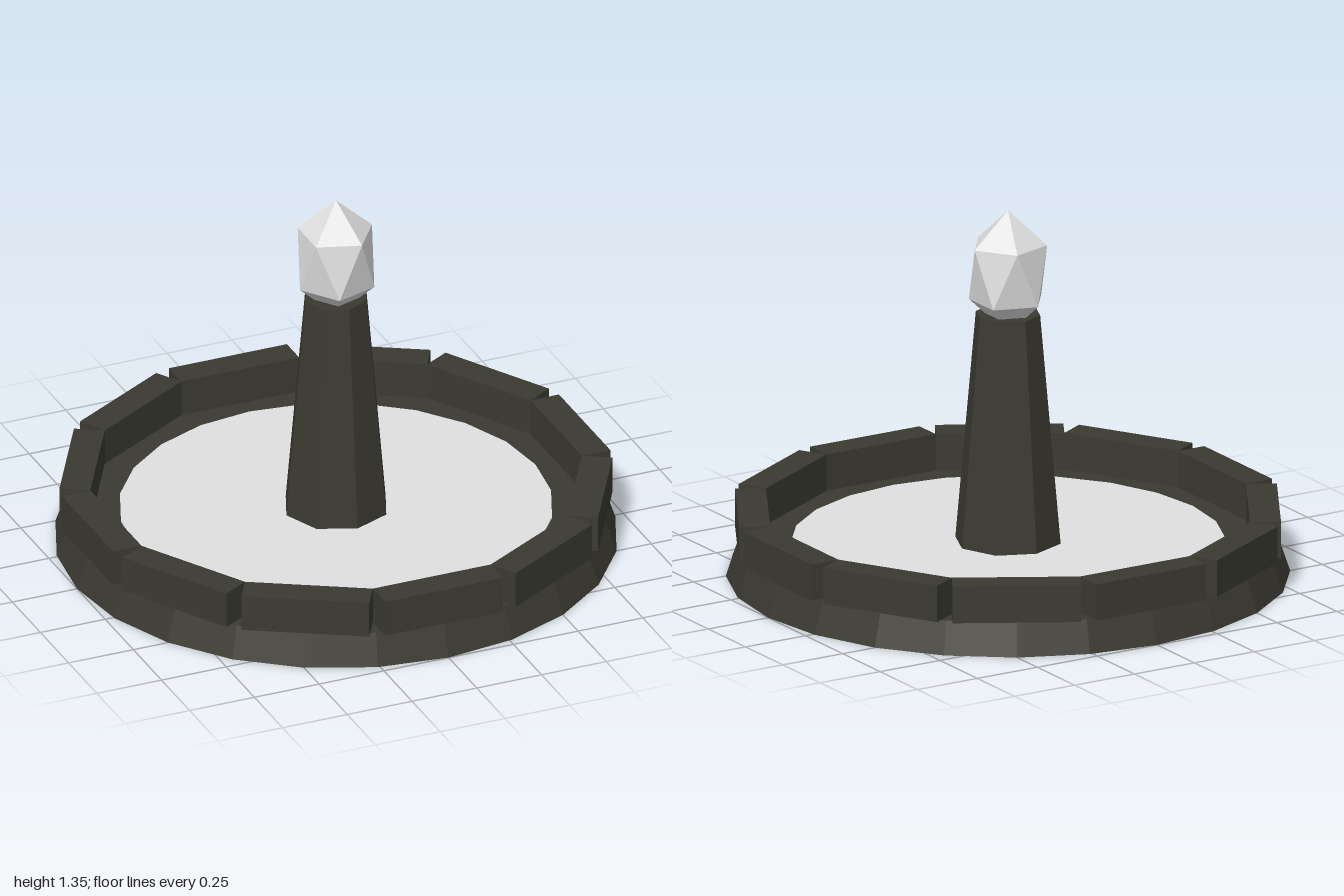
import * as THREE from 'three';
import { ConvexGeometry } from 'three/addons/geometries/ConvexGeometry.js';

export function createModel() {
  const model = new THREE.Group();
  model.name = 'fountain';

  const stone = new THREE.MeshStandardMaterial({ color: 0x3b3a31, flatShading: true });
  stone.name = 'dark stone';
  const pale = new THREE.MeshStandardMaterial({ color: 0xe0e0e0, flatShading: true });
  pale.name = 'pale crystal and water';

  const add = (name, geometry, material, y = 0, parent = model) => {
    const mesh = new THREE.Mesh(geometry, material);
    mesh.name = name;
    mesh.position.y = y;
    parent.add(mesh);
    return mesh;
  };

  // Flared round foot
  const footHeight = 0.117;
  add('foot', new THREE.CylinderGeometry(0.96, 1, footHeight, 24), stone, footHeight / 2);

  // Rim of twelve straight blocks, touching on the inside with wedge gaps outside
  const rim = new THREE.Group();
  rim.name = 'rim';
  model.add(rim);
  const inner = 0.85, outer = 0.96, top = 0.252;
  const block = new THREE.BoxGeometry(2 * inner * Math.tan(Math.PI / 12), top - footHeight, outer - inner);
  for (let i = 0; i < 12; i++) {
    const angle = (i * Math.PI) / 6;
    const mesh = add('rimBlock', block, stone, (top + footHeight) / 2, rim);
    const r = (inner + outer) / 2;
    mesh.position.x = Math.sin(angle) * r;
    mesh.position.z = Math.cos(angle) * r;
    mesh.rotation.y = angle;
  }

  // Water surface
  add('water', new THREE.CylinderGeometry(0.77, 0.77, 0.006, 24), pale, 0.12);

  // Tapered eight-sided pillar
  const pillarTop = 0.965;
  add('pillar', new THREE.CylinderGeometry(0.117, 0.192, pillarTop - footHeight, 8), stone,
    (pillarTop + footHeight) / 2);

  // Crystal: two opposed five-point rings between two tips, stretched upward
  const points = [new THREE.Vector3(0, 0.229, 0), new THREE.Vector3(0, -0.229, 0)];
  for (let i = 0; i < 5; i++) {
    const a = (i * Math.PI * 2) / 5;
    const x = 0.139 * Math.cos(a), z = 0.139 * Math.sin(a);
    points.push(new THREE.Vector3(x, 0.1025, z), new THREE.Vector3(-x, -0.1025, -z));
  }
  add('crystal', new ConvexGeometry(points), pale, 1.1175);

  return model;
}
